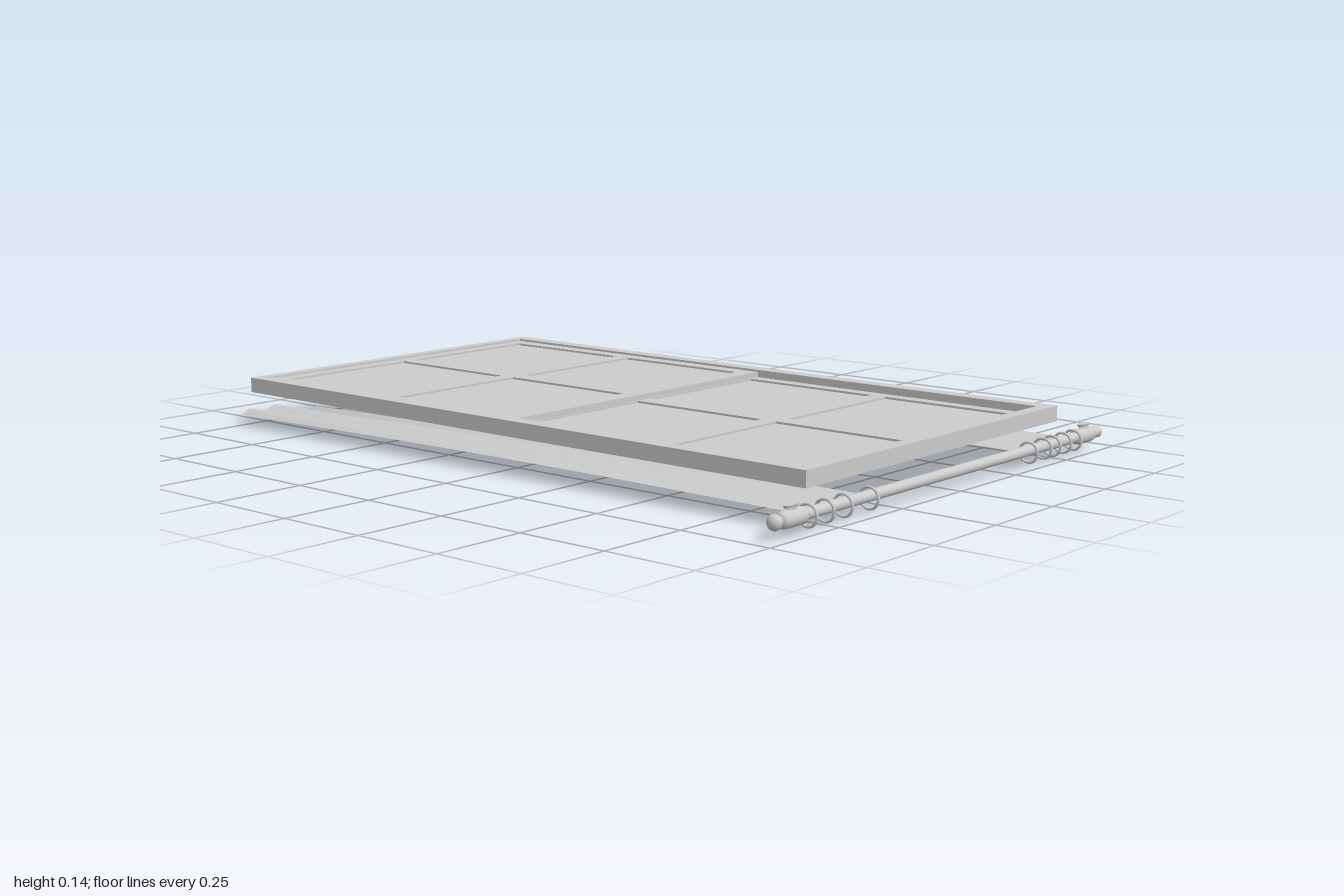
import * as THREE from 'three';

const material = new THREE.MeshStandardMaterial({ color: 0xcccccc });
const clothMaterial = new THREE.MeshStandardMaterial({ color: 0xcccccc, side: THREE.DoubleSide });

function add(parent, name, geometry, mat = material) {
  const mesh = new THREE.Mesh(geometry, mat);
  mesh.name = name;
  parent.add(mesh);
  return mesh;
}

function rectangle(PathType, [x0, x1, z0, z1]) {
  // Shape y is -z, so the extrusion can be laid flat
  const path = new PathType();
  path.moveTo(x0, -z1).lineTo(x1, -z1).lineTo(x1, -z0).lineTo(x0, -z0).closePath();
  return path;
}

// Flat slab with rectangular openings, from height y0 to y1
function openSlab(bounds, openings, y0, y1) {
  const shape = rectangle(THREE.Shape, bounds);
  shape.holes = openings.map((o) => rectangle(THREE.Path, o));
  const geometry = new THREE.ExtrudeGeometry(shape, { depth: y1 - y0, bevelEnabled: false });
  return geometry.rotateX(-Math.PI / 2).translate(0, y0, 0);
}

// Sash with four panes
function createSash(name, bounds, columns, rows, y0, y1) {
  const sash = new THREE.Group();
  sash.name = name;
  const openings = rows.flatMap((r) => columns.map((c) => [...c, ...r]));
  add(sash, 'sashFrame', openSlab(bounds, openings, y0, y1));
  const mid = (y0 + y1) / 2;
  for (const o of openings) add(sash, 'pane', openSlab(o, [], mid - 0.002, mid + 0.002));
  return sash;
}

// Cloth that is nearly flat at the rod and folds more towards the hem
function createCurtain(name, x) {
  const hem = new THREE.CatmullRomCurve3([
    [0, 0.03], [0.03, 0.045], [0.07, 0.028], [0.12, 0.045],
    [0.17, 0.024], [0.21, 0.02], [0.243, 0.001], [0.268, 0.02],
  ].map(([px, py]) => new THREE.Vector3(px, py, 0)));
  const geometry = new THREE.PlaneGeometry(1, 1, 48, 24);
  const position = geometry.attributes.position;
  const p = new THREE.Vector3();
  for (let i = 0; i < position.count; i++) {
    const u = position.getX(i) + 0.5;
    const t = position.getY(i) + 0.5;
    hem.getPoint(u, p);
    const topX = 0.004 + u * 0.256;
    const y = THREE.MathUtils.lerp(0.04, p.y, t) + 0.008 * Math.sin(Math.PI * t);
    position.setXYZ(i, x + THREE.MathUtils.lerp(topX, p.x, t), y, 0.96 - 1.96 * t);
  }
  geometry.computeVertexNormals();
  const mesh = new THREE.Mesh(geometry, clothMaterial);
  mesh.name = name;
  return mesh;
}

// Cylinder along x
function bar(x0, x1, r0, r1 = r0) {
  return new THREE.CylinderGeometry(r1, r0, x1 - x0, 24)
    .rotateZ(-Math.PI / 2).translate((x0 + x1) / 2, 0, 0);
}

// Turned piece along x, from [distance, radius] points
function turned(points) {
  const profile = points.map(([d, r]) => new THREE.Vector2(r, d));
  return new THREE.LatheGeometry(profile, 24).rotateZ(-Math.PI / 2);
}

function createRod() {
  const rod = new THREE.Group();
  rod.name = 'curtainRod';
  rod.position.set(0, 0.043, 0.97);
  add(rod, 'pole', bar(-0.6, 0.6, 0.014));

  for (const side of [-1, 1]) {
    const end = new THREE.Group();
    end.name = side < 0 ? 'rightRodEnd' : 'leftRodEnd';
    end.rotation.y = side < 0 ? Math.PI : 0;
    rod.add(end);
    add(end, 'socket', turned([
      [0.59, 0], [0.59, 0.015], [0.598, 0.02], [0.61, 0.021],
      [0.662, 0.021], [0.674, 0.019], [0.68, 0.012], [0.68, 0],
    ]));
    // Small bracket plate above the socket
    add(end, 'bracketStem', new THREE.CylinderGeometry(0.008, 0.01, 0.02, 16)
      .scale(2, 1, 1).translate(0.637, 0.018, 0));
    add(end, 'bracketPlate', new THREE.CylinderGeometry(0.011, 0.009, 0.007, 24)
      .scale(2.5, 1, 1).translate(0.637, 0.028, 0));
    // One end has a round knob, the other a straight cap
    if (side < 0) {
      add(end, 'neck', bar(0.675, 0.69, 0.012));
      add(end, 'knob', new THREE.SphereGeometry(0.019, 24, 16)
        .scale(0.8, 1, 1).translate(0.697, 0, 0));
    } else {
      add(end, 'cap', bar(0.675, 0.71, 0.014, 0.016));
    }
  }

  // Curtain rings
  for (const x of [-0.577, -0.513, -0.443, -0.342, 0.36, 0.43, 0.475, 0.53, 0.582]) {
    add(rod, 'curtainRing', new THREE.TorusGeometry(0.026, 0.0035, 8, 28)
      .rotateY(Math.PI / 2)).position.set(x, -0.005, 0);
  }
  return rod;
}

export function createModel() {
  const model = new THREE.Group();
  model.name = 'curtainedWindow';

  const windowGroup = new THREE.Group();
  windowGroup.name = 'window';
  model.add(windowGroup);
  add(windowGroup, 'outerFrame',
    openSlab([-0.567, 0.52, -0.98, 0.957], [[-0.525, 0.477, -0.95, 0.92]], 0.095, 0.136));

  // Two sashes, one sitting above the other where their rails meet
  windowGroup.add(createSash('lowerSash', [-0.525, 0.477, -0.95, 0.008],
    [[-0.487, -0.052], [-0.002, 0.435]], [[-0.912, -0.503], [-0.457, -0.04]], 0.115, 0.13));
  windowGroup.add(createSash('upperSash', [-0.525, 0.477, -0.038, 0.92],
    [[-0.483, -0.048], [0.002, 0.44]], [[0.01, 0.428], [0.476, 0.882]], 0.1, 0.115));

  model.add(createCurtain('rightCurtain', -0.588));
  model.add(createCurtain('leftCurtain', 0.337));
  model.add(createRod());
  return model;
}
